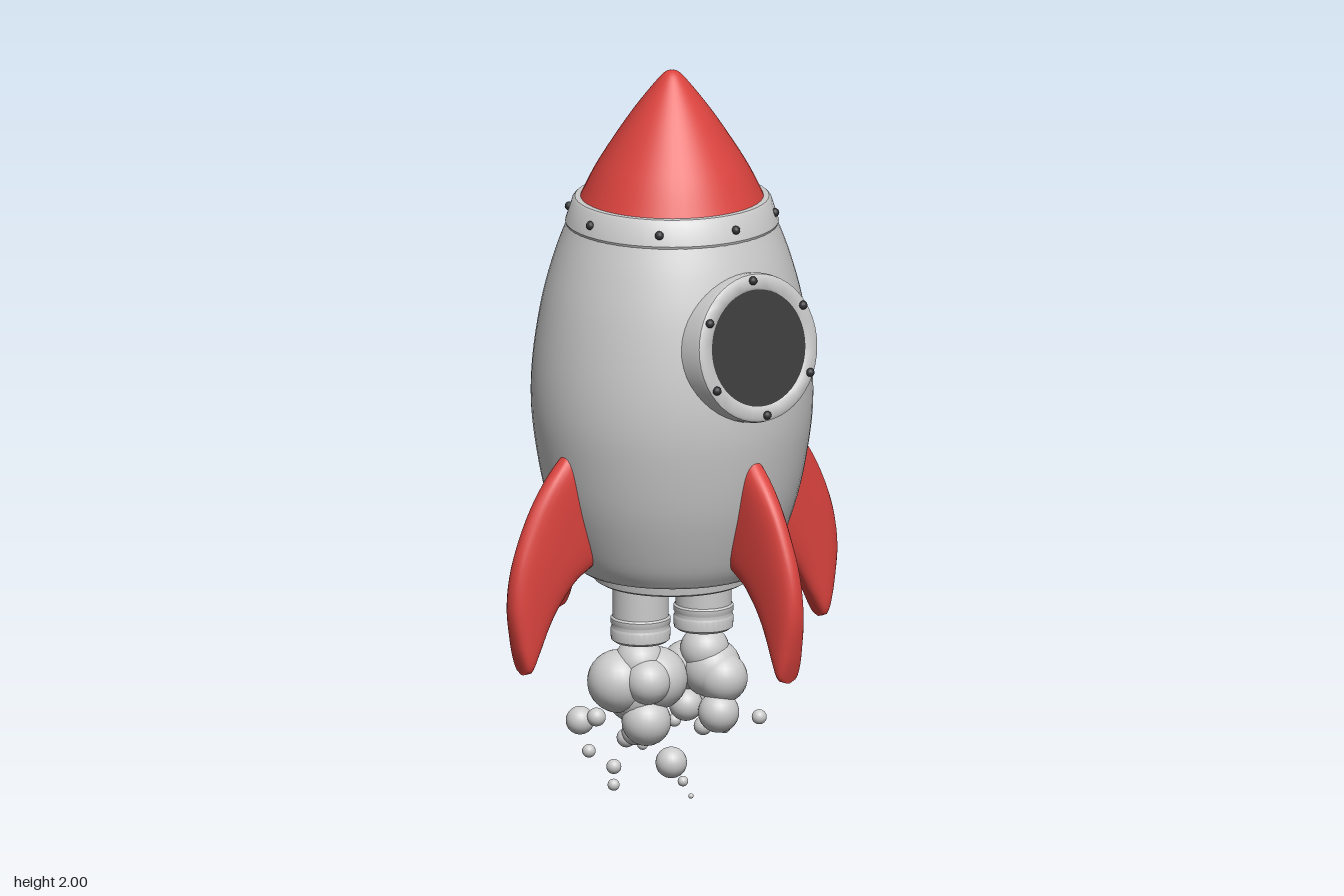
import * as THREE from 'three';
import { toCreasedNormals } from 'three/addons/utils/BufferGeometryUtils.js';
import { ParametricGeometry } from 'three/addons/geometries/ParametricGeometry.js';

const material = (name, color) => {
  const m = new THREE.MeshStandardMaterial({ color });
  m.name = name;
  return m;
};

export function createModel() {
  const grey = material('hull grey', 0xcbcbcb);
  const red = material('red paint', 0xdb433e);
  const dark = material('dark rivet', 0x333336);
  const glass = material('window glass', 0x3c3c3c);

  const model = new THREE.Group();
  model.name = 'rocket';

  const add = (parent, name, geometry, mat, x = 0, y = 0, z = 0) => {
    const mesh = new THREE.Mesh(geometry, mat);
    mesh.name = name;
    mesh.position.set(x, y, z);
    parent.add(mesh);
    return mesh;
  };
  const v2 = ([x, y]) => new THREE.Vector2(x, y);
  const lathe = (profile, segments = 48) =>
    toCreasedNormals(new THREE.LatheGeometry(profile.map(v2), segments), 0.6);
  const spline = (points) => new THREE.SplineCurve(points.map(v2));

  // Hull: smooth egg-shaped shell
  const hullCurve = spline([[0.255, 0.645], [0.287, 0.7], [0.335, 0.84], [0.363, 0.98], [0.375, 1.1],
    [0.369, 1.23], [0.345, 1.38], [0.312, 1.5], [0.278, 1.59]]);
  add(model, 'hull', new THREE.LatheGeometry(hullCurve.getPoints(36), 64), grey);

  // Rim and recess under the hull
  add(model, 'baseRim', lathe([[0, 0.632], [0.18, 0.632], [0.185, 0.608], [0.198, 0.604], [0.208, 0.61],
    [0.212, 0.637], [0.245, 0.638], [0.256, 0.646]]), grey);

  // Collar with rivets
  add(model, 'collar', lathe([[0.265, 1.58], [0.281, 1.58], [0.284, 1.588], [0.265, 1.648], [0.258, 1.655], [0.23, 1.656]]), grey);
  const rivet = new THREE.SphereGeometry(0.012, 12, 8);
  for (let i = 0; i < 8; i++) {
    const a = i * Math.PI / 4;
    add(model, 'collarRivet', rivet, dark, 0.275 * Math.cos(a), 1.617, 0.275 * Math.sin(a));
  }

  // Nose cone
  const noseCurve = spline([[0.246, 1.65], [0.207, 1.73], [0.158, 1.81], [0.104, 1.89], [0.05, 1.96], [0.02, 1.993], [0.001, 2]]);
  add(model, 'noseCone', new THREE.LatheGeometry(noseCurve.getPoints(24), 48), red);

  // Fins: rounded sections lofted between an outer and an inner curve
  const outer = spline([[0.355, 1.005], [0.43, 0.925], [0.487, 0.835], [0.532, 0.72], [0.546, 0.61], [0.53, 0.5], [0.506, 0.42]]);
  const inner = spline([[0.24, 0.985], [0.23, 0.84], [0.25, 0.71], [0.335, 0.65], [0.403, 0.575], [0.455, 0.485], [0.49, 0.42]]);
  const bulge = (s, p) => Math.sign(s) * Math.pow(Math.abs(s), p);
  const finGeometry = new ParametricGeometry((u, v, target) => {
    const a = u * Math.PI * 2;
    const o = outer.getPoint(v), n = inner.getPoint(v);
    const t = 0.5 + 0.5 * bulge(Math.cos(a), 0.8);
    const half = 0.038 * Math.sqrt(Math.max(0.02, 1 - Math.pow(Math.abs(2 * v - 1), 10)));
    target.set(n.x + (o.x - n.x) * t, n.y + (o.y - n.y) * t, half * bulge(Math.sin(a), 0.7));
  }, 28, 36);
  for (let i = 0; i < 4; i++) add(model, 'fin', finGeometry, red).rotation.y = i * Math.PI / 2;

  // Porthole on the left side, tilted with the hull; local y points outwards
  const porthole = new THREE.Group();
  porthole.name = 'porthole';
  porthole.position.set(0.378, 1.315, 0);
  porthole.rotation.z = -Math.PI / 2 + 0.17;
  model.add(porthole);
  add(porthole, 'windowFrame', lathe([[0.2, -0.13], [0.2, -0.02], [0.197, -0.006], [0.188, 0],
    [0.162, 0], [0.156, -0.004], [0.154, -0.02]]), grey);
  add(porthole, 'windowGlass', new THREE.CylinderGeometry(0.157, 0.157, 0.008, 48), glass, 0, -0.008, 0);
  for (let i = 0; i < 6; i++) {
    const a = i * Math.PI / 3;
    add(porthole, 'frameRivet', rivet, dark, 0.181 * Math.cos(a), 0.002, 0.181 * Math.sin(a));
  }

  // Two engines, each with a smoke cloud of [x, y, z, radius] puffs
  const nozzle = lathe([[0, 0.45], [0.07, 0.45], [0.079, 0.457], [0.08, 0.485], [0.077, 0.49], [0.077, 0.497],
    [0.08, 0.502], [0.08, 0.515], [0.075, 0.52], [0.075, 0.64]], 32);
  for (const side of [1, -1]) add(model, 'engine', nozzle, grey, 0, 0, side * 0.106);

  const ball = new THREE.SphereGeometry(1, 24, 16);
  const puffs = (name, list) => {
    const group = new THREE.Group();
    group.name = name;
    for (const [x, y, z, r] of list) add(group, 'puff', ball, grey, x, y, z).scale.setScalar(r);
    model.add(group);
  };
  puffs('frontSmoke', [[0, 0.39, 0.11, 0.068], [-0.03, 0.34, 0.155, 0.085], [0.02, 0.345, 0.07, 0.085],
    [-0.02, 0.31, 0.1, 0.09], [0.05, 0.35, 0.12, 0.062], [0.03, 0.235, 0.11, 0.066]]);
  puffs('backSmoke', [[0, 0.39, -0.11, 0.066], [0.01, 0.34, -0.125, 0.08], [-0.05, 0.34, -0.09, 0.068],
    [0.05, 0.32, -0.13, 0.068], [0.06, 0.23, -0.11, 0.055], [-0.03, 0.24, -0.07, 0.045], [-0.08, 0.25, -0.13, 0.045]]);
  puffs('loosePuffs', [[0.125, 0.14, 0.1, 0.042], [0.085, 0.125, 0.075, 0.026], [-0.095, 0.17, 0.05, 0.036],
    [-0.12, 0.15, 0.06, 0.026], [-0.115, 0.225, 0.22, 0.038], [-0.07, 0.24, 0.2, 0.025],
    [-0.18, 0.12, -0.245, 0.025], [-0.1, 0.205, -0.235, 0.04], [-0.06, 0.18, -0.215, 0.025],
    [-0.17, 0.155, -0.14, 0.018], [0.12, 0.215, -0.2, 0.02], [0.0, 0.175, 0.28, 0.018],
    [-0.015, 0.063, 0.185, 0.016], [0.06, 0.06, 0.01, 0.014], [-0.14, 0.115, -0.01, 0.014],
    [0.05, 0.135, 0.235, 0.02], [-0.03, 0.155, -0.2, 0.016], [0.037, 0.007, -0.035, 0.007]]);

  return model;
}
